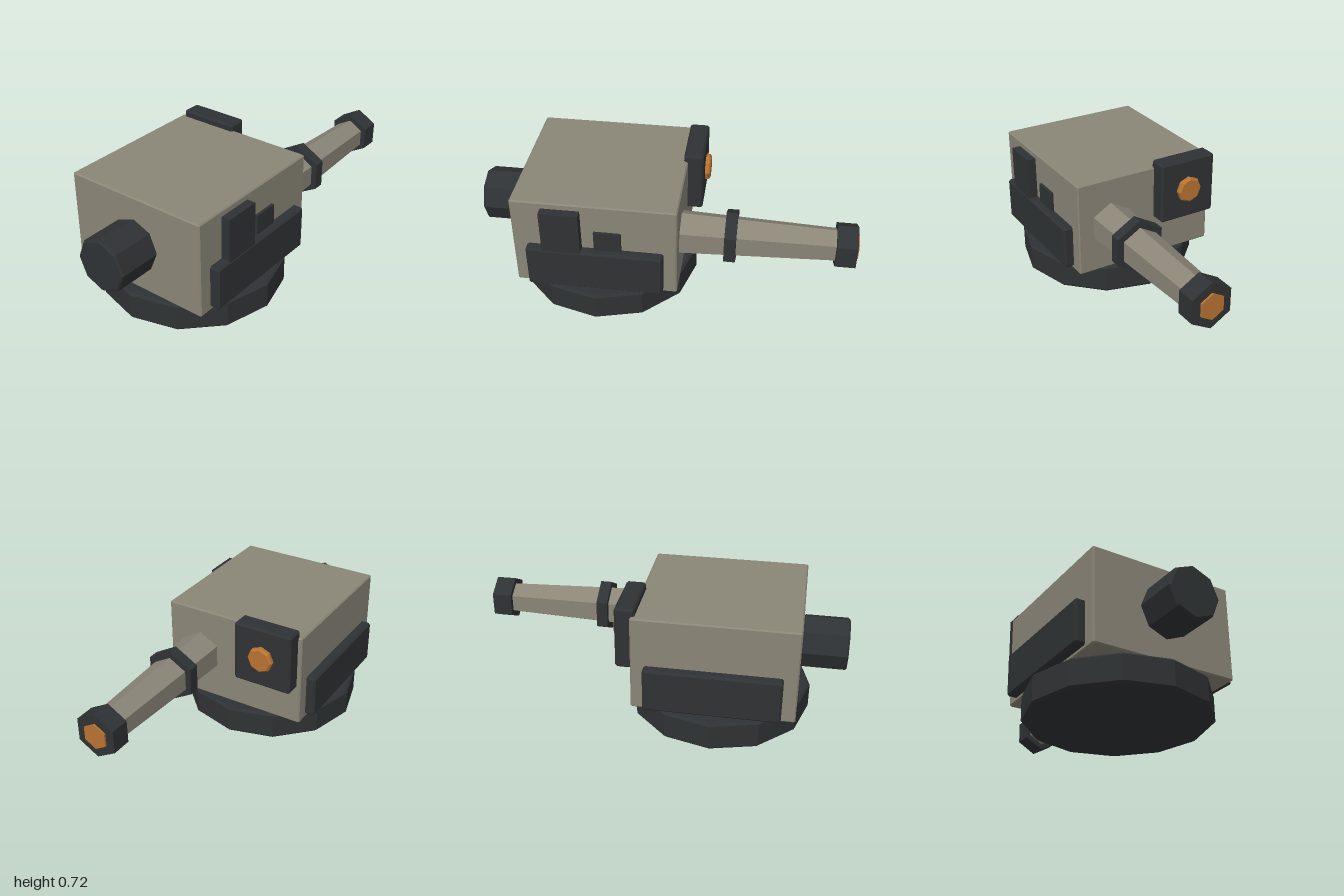
import * as THREE from 'three';
import { ConvexGeometry } from 'three/addons/geometries/ConvexGeometry.js';

const paint = (color) => new THREE.MeshStandardMaterial({ color, flatShading: true });

// Box given by its ranges, with every edge chamfered by b
function chamferBox([x0, x1], [y0, y1], [z0, z1], b) {
  const half = [(x1 - x0) / 2, (y1 - y0) / 2, (z1 - z0) / 2];
  const points = [];
  for (const sx of [-1, 1]) for (const sy of [-1, 1]) for (const sz of [-1, 1]) {
    for (let axis = 0; axis < 3; axis++) {
      const h = half.map((v, i) => (i === axis ? v : v - b));
      points.push(new THREE.Vector3(sx * h[0], sy * h[1], sz * h[2]));
    }
  }
  return new ConvexGeometry(points).translate((x0 + x1) / 2, (y0 + y1) / 2, (z0 + z1) / 2);
}

function plainBox([x0, x1], [y0, y1], [z0, z1]) {
  return new THREE.BoxGeometry(x1 - x0, y1 - y0, z1 - z0)
    .translate((x0 + x1) / 2, (y0 + y1) / 2, (z0 + z1) / 2);
}

// Closed, faceted prism along +y from 0 to length, with chamfered rims
function prism(r0, r1, length, sides, b = 0) {
  const profile = [[0, 0], [r0 - b, 0]];
  if (b) profile.push([r0, b], [r1, length - b]);
  profile.push([r1 - b, length], [0, length]);
  return new THREE.LatheGeometry(profile.map(([x, y]) => new THREE.Vector2(x, y)), sides);
}

export function createModel() {
  const model = new THREE.Group();
  const shell = paint(0x8a8577), dark = paint(0x2f3234), copper = paint(0xb87333);

  const add = (name, geometry, material, parent = model) => {
    const mesh = new THREE.Mesh(geometry, material);
    mesh.name = name;
    parent.add(mesh);
    return mesh;
  };

  // Turntable and housing
  add('base', prism(0.487, 0.487, 0.155, 12, 0.012).translate(0, 0, 0.335), dark);
  add('housing', chamferBox([-0.402, 0.402], [0.16, 0.678], [-0.09, 0.76], 0.007), shell);

  // Front knob
  add('frontKnob', prism(0.143, 0.143, 0.24, 8, 0.008).rotateX(Math.PI / 2).translate(0, 0.42, 0.76), dark);

  // Side pods
  for (const [name, x] of [['leftPod', [0.385, 0.453]], ['rightPod', [-0.453, -0.385]]]) {
    add(name, chamferBox(x, [0.18, 0.416], [-0.02, 0.687], 0.01), dark);
  }

  // Raised blocks above the left pod
  add('tallSideBlock', plainBox([0.38, 0.45], [0.35, 0.645], [0.4, 0.6]), dark);
  add('smallSideBlock', plainBox([0.38, 0.417], [0.35, 0.525], [0.195, 0.335]), dark);

  // Rear sensor box with a copper lens
  add('sensorBox', chamferBox([-0.38, -0.052], [0.38, 0.715], [-0.172, -0.068], 0.01), dark);
  add('sensorLens', prism(0.071, 0.071, 0.04, 8, 0.01).rotateX(-Math.PI / 2).translate(-0.215, 0.548, -0.16), copper);

  // Six-sided barrel pointing backwards: z, length and radii of each section
  const barrel = new THREE.Group();
  barrel.name = 'barrel';
  barrel.position.set(0.21, 0.42, 0);
  model.add(barrel);
  const sections = [
    ['barrelTube', 0.085, 0.82, 0.12, 0.089, shell],
    ['barrelCollar', 0.32, 0.06, 0.147, 0.147, dark],
    ['muzzle', 0.885, 0.105, 0.122, 0.122, dark],
    ['muzzleCore', 0.95, 0.05, 0.07, 0.07, copper],
  ];
  for (const [name, z, length, r0, r1, material] of sections) {
    add(name, prism(r0, r1, length, 6).rotateX(-Math.PI / 2).translate(0, 0, -z), material, barrel);
  }

  return model;
}
